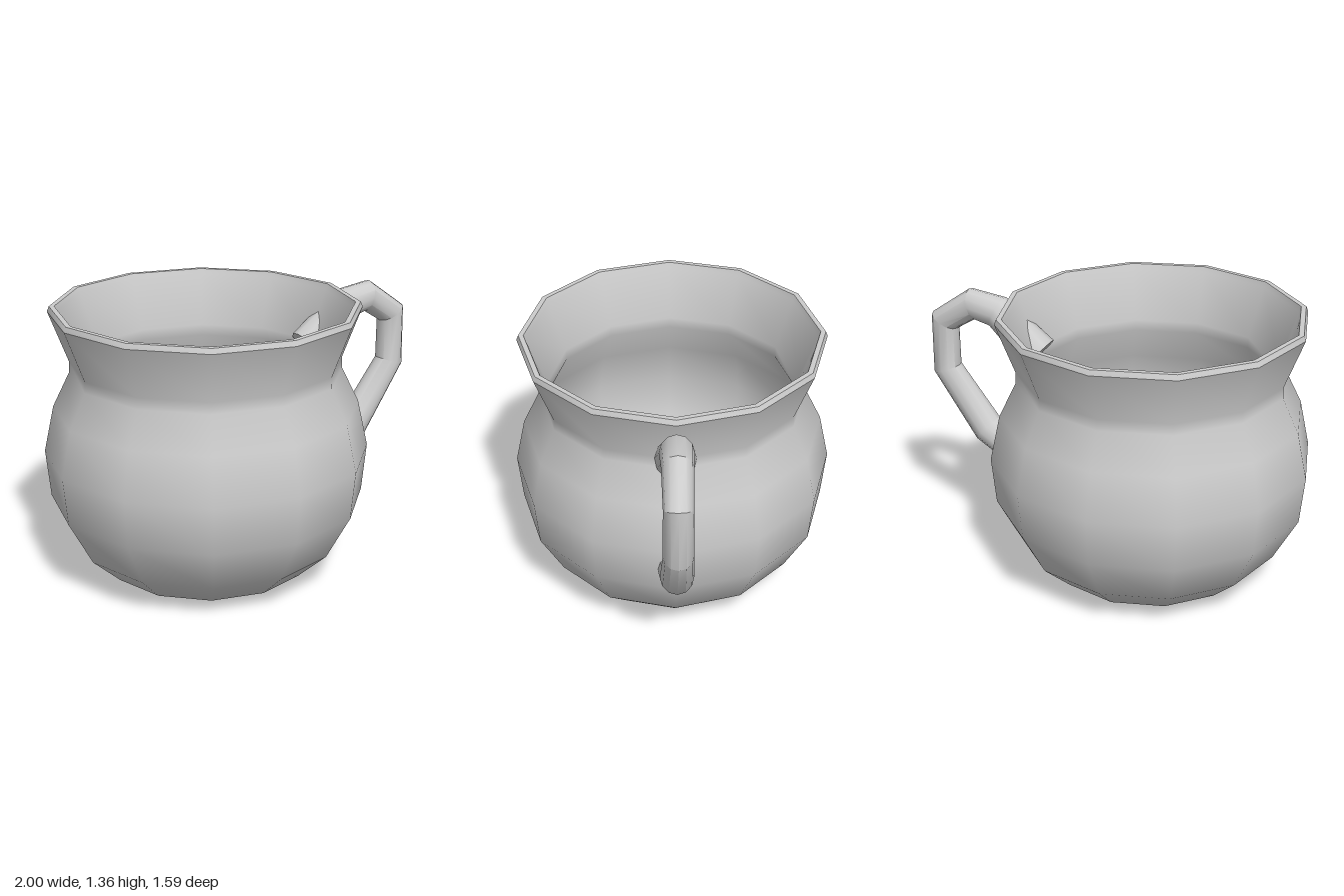
import * as THREE from 'three';
import { toCreasedNormals } from 'three/addons/utils/BufferGeometryUtils.js';

const material = new THREE.MeshStandardMaterial({ color: 0xcccccc });

// Round tube through [x, y, radius] points in the xy plane, mitred at bends, with flat ends
function taperedTube(path, sides, endDirection) {
  const pts = path.map(([x, y]) => new THREE.Vector2(x, y));
  const dirs = pts.slice(1).map((p, i) => p.clone().sub(pts[i]).normalize());
  const pos = [], index = [];
  path.forEach(([x, y, r], i) => {
    const a = dirs[Math.max(i - 1, 0)];
    const b = i < dirs.length ? dirs[i] : endDirection;
    const t = (i === 0 ? a.clone() : i < dirs.length ? a.clone().add(b) : b.clone()).normalize();
    const stretch = r / Math.max(t.dot(a), 0.6);
    for (let j = 0; j < sides; j++) {
      const u = (j / sides) * Math.PI * 2;
      const c = Math.cos(u) * stretch;
      pos.push(x - t.y * c, y + t.x * c, Math.sin(u) * r);
    }
  });
  const last = path.length - 1;
  for (let i = 0; i < last; i++) {
    for (let j = 0; j < sides; j++) {
      const k = (j + 1) % sides;
      const a = i * sides + j, b = i * sides + k;
      index.push(a, b, b + sides, a, b + sides, a + sides);
    }
  }
  for (let j = 1; j < sides - 1; j++) {
    index.push(0, j + 1, j);
    index.push(last * sides, last * sides + j, last * sides + j + 1);
  }
  const g = new THREE.BufferGeometry();
  g.setAttribute('position', new THREE.Float32BufferAttribute(pos, 3));
  g.setIndex(index);
  return g;
}

export function createModel() {
  const group = new THREE.Group();
  group.name = 'mug';

  // Twelve-sided bowl: outer wall up to the flared rim, then back down the inner wall
  const profile = [
    [0, 0], [0.345, 0], [0.505, 0.04], [0.65, 0.17], [0.772, 0.395], [0.795, 0.63],
    [0.745, 0.86], [0.662, 1.03], [0.66, 1.085], [0.755, 1.335], [0.745, 1.36],
    [0.72, 1.36], [0.71, 1.335], [0.617, 1.085], [0.617, 1.03], [0.705, 0.85],
    [0.755, 0.63], [0.732, 0.4], [0.62, 0.195], [0.485, 0.08], [0.335, 0.04], [0, 0.04],
  ].map(([r, y]) => new THREE.Vector2(r, y));
  const body = new THREE.Mesh(toCreasedNormals(new THREE.LatheGeometry(profile, 12), 0.7), material);
  body.name = 'body';
  body.position.x = -0.205;
  group.add(body);

  // Handle: the upper end pokes through the neck, the lower end sits in the wall
  const path = [
    [0.40, 1.05, 0.1], [0.625, 1.243, 0.08], [0.765, 1.265, 0.073], [0.926, 1.155, 0.068],
    [0.926, 0.895, 0.07], [0.705, 0.59, 0.08], [0.56, 0.51, 0.088],
  ];
  const handle = new THREE.Mesh(
    toCreasedNormals(taperedTube(path, 12, new THREE.Vector2(-1, -0.1).normalize()), 0.6), material);
  handle.name = 'handle';
  group.add(handle);

  return group;
}
